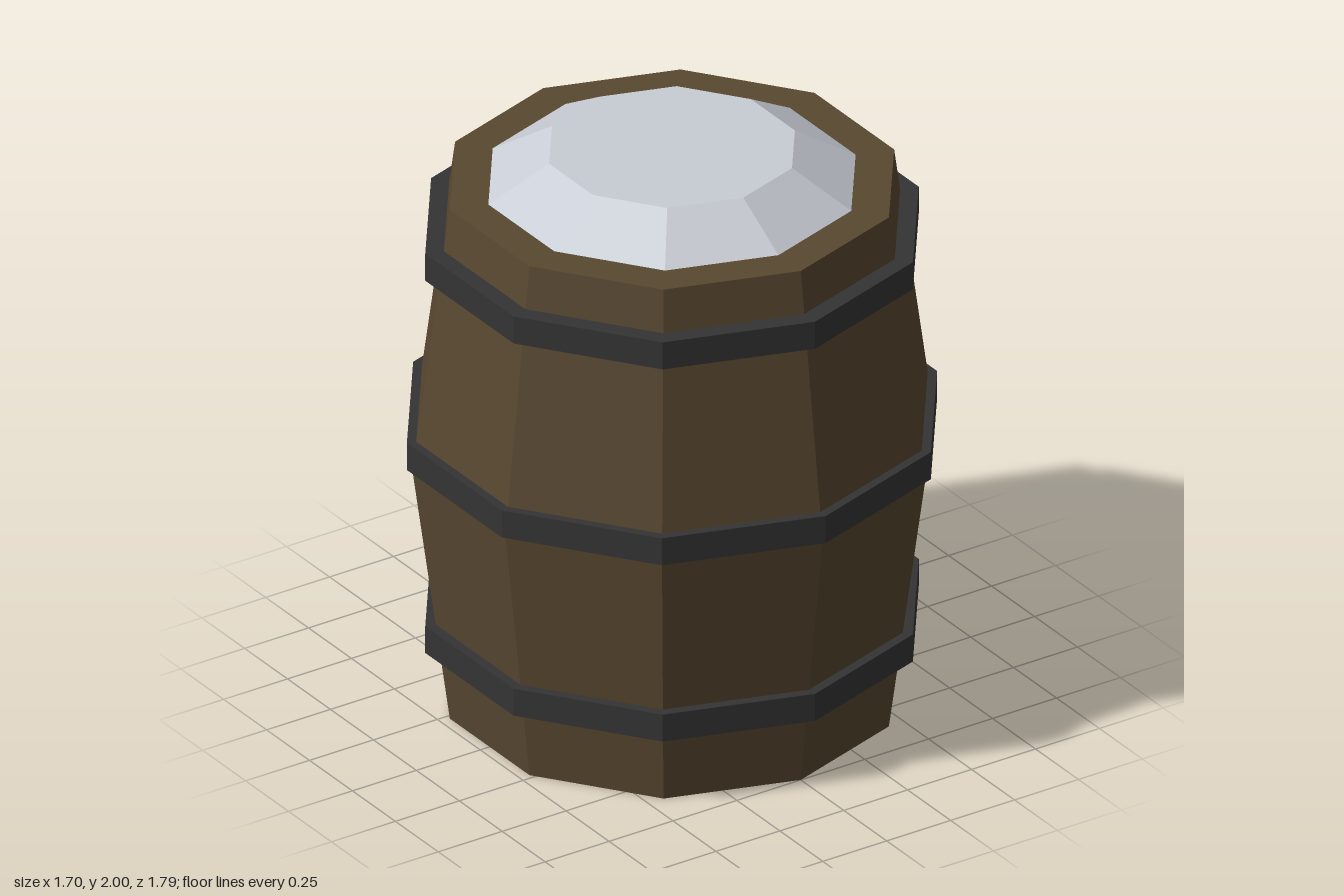
import * as THREE from 'three';

const SIDES = 10;

function material(name, color) {
  const m = new THREE.MeshStandardMaterial({ color, flatShading: true });
  m.name = name;
  return m;
}

// Ten-sided drum between two heights, with a corner on the z axis
function drum(name, mat, bottomRadius, topRadius, y0, y1, open = false) {
  const geo = new THREE.CylinderGeometry(topRadius, bottomRadius, y1 - y0, SIDES, 1, open);
  const mesh = new THREE.Mesh(geo, mat);
  mesh.position.y = (y0 + y1) / 2;
  mesh.name = name;
  return mesh;
}

// Hoop with a rectangular section
function hoop(name, mat, inner, outer, y0, y1) {
  const profile = [[inner, y0], [outer, y0], [outer, y1], [inner, y1], [inner, y0]]
    .map(([r, y]) => new THREE.Vector2(r, y));
  const mesh = new THREE.Mesh(new THREE.LatheGeometry(profile, SIDES), mat);
  mesh.name = name;
  return mesh;
}

export function createModel() {
  const wood = material('wood', 0x594831);
  const iron = material('dark iron', 0x343434);
  const pale = material('pale filling', 0xc8ccd4);

  const barrel = new THREE.Group();
  barrel.name = 'barrel';

  // Bulging wooden body
  const profile = [[0, 0], [0.75, 0], [0.877, 0.94], [0.75, 1.88], [0, 1.88]]
    .map(([r, y]) => new THREE.Vector2(r, y));
  const body = new THREE.Mesh(new THREE.LatheGeometry(profile, SIDES), wood);
  body.name = 'body';
  barrel.add(body);

  // Three iron hoops
  barrel.add(
    hoop('lowerHoop', iron, 0.74, 0.833, 0.255, 0.355),
    hoop('middleHoop', iron, 0.83, 0.895, 0.94, 1.04),
    hoop('upperHoop', iron, 0.74, 0.833, 1.63, 1.73),
  );

  // Faceted mound on top
  barrel.add(drum('mound', pale, 0.62, 0.415, 1.88, 2));

  return barrel;
}
